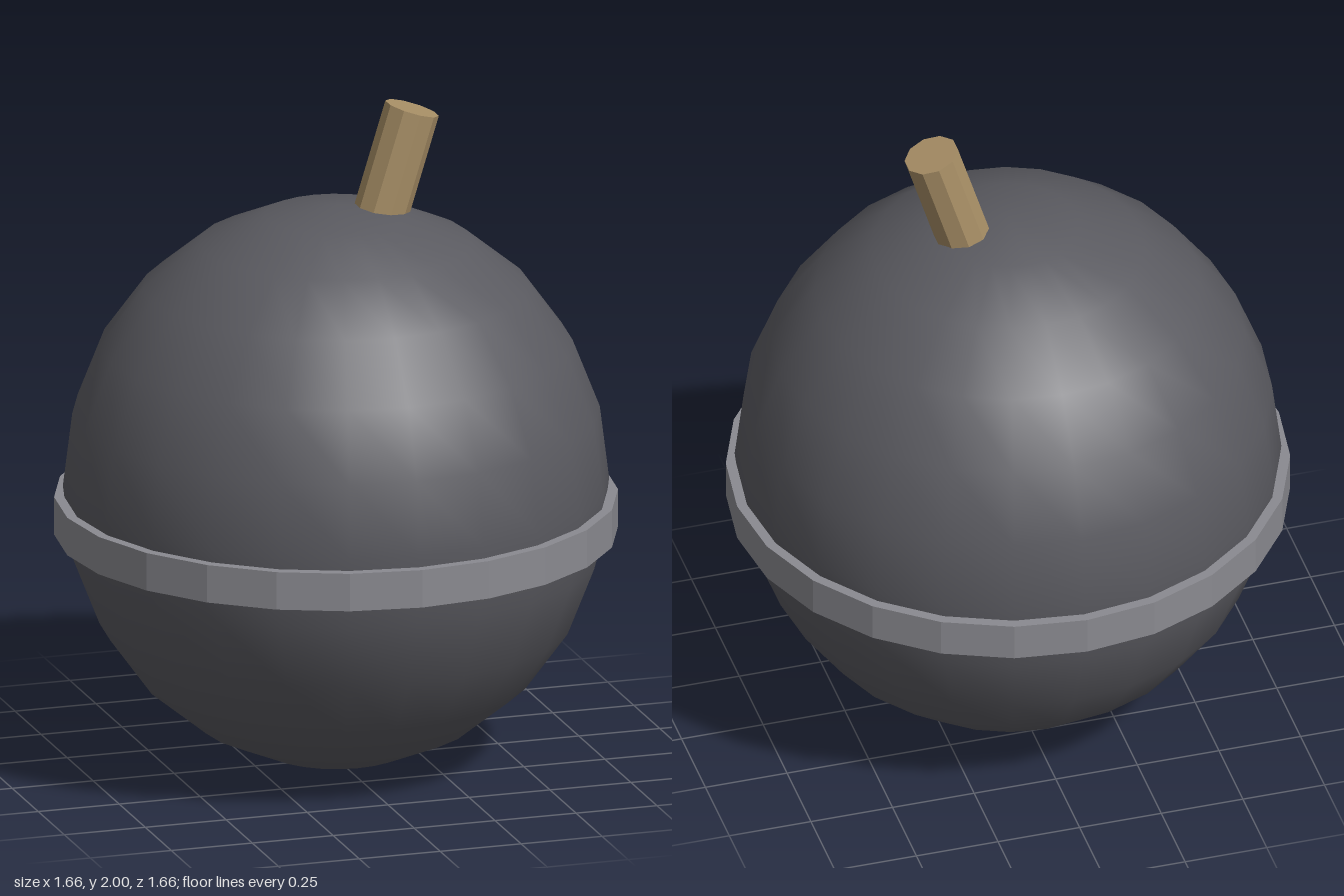
import * as THREE from 'three';

const material = (name, color) => {
  const m = new THREE.MeshStandardMaterial({ color });
  m.name = name;
  return m;
};

// Cylinder with hard facets; splitting the vertices gives flat normals.
function facetedCylinder(radius, height, sides) {
  const geometry = new THREE.CylinderGeometry(radius, radius, height, sides).toNonIndexed();
  geometry.computeVertexNormals();
  return geometry;
}

export function createModel() {
  const group = new THREE.Group();
  group.name = 'roundBomb';

  const iron = material('dark iron', 0x5a5a60);
  const steel = material('grey band', 0x8a8a90);
  const cord = material('tan cord', 0xa88f66);

  const add = (name, geometry, mat) => {
    const mesh = new THREE.Mesh(geometry, mat);
    mesh.name = name;
    group.add(mesh);
    return mesh;
  };

  // Slightly tall, smooth shell
  const shell = new THREE.SphereGeometry(1, 24, 12);
  shell.scale(0.804, 0.85, 0.804);
  add('shell', shell, iron).position.y = 0.853;

  // Band just below the widest point
  add('band', facetedCylinder(0.83, 0.115, 24), steel).position.y = 0.76;

  // Leaning fuse, its foot sunk into the shell
  const tilt = 0.3, length = 0.4;
  const fuse = add('fuse', facetedCylinder(0.082, length, 10), cord);
  fuse.rotation.z = -tilt;
  fuse.position.set(
    0.235 - Math.sin(tilt) * length / 2,
    1.977 - Math.cos(tilt) * length / 2,
    0
  );

  return group;
}
